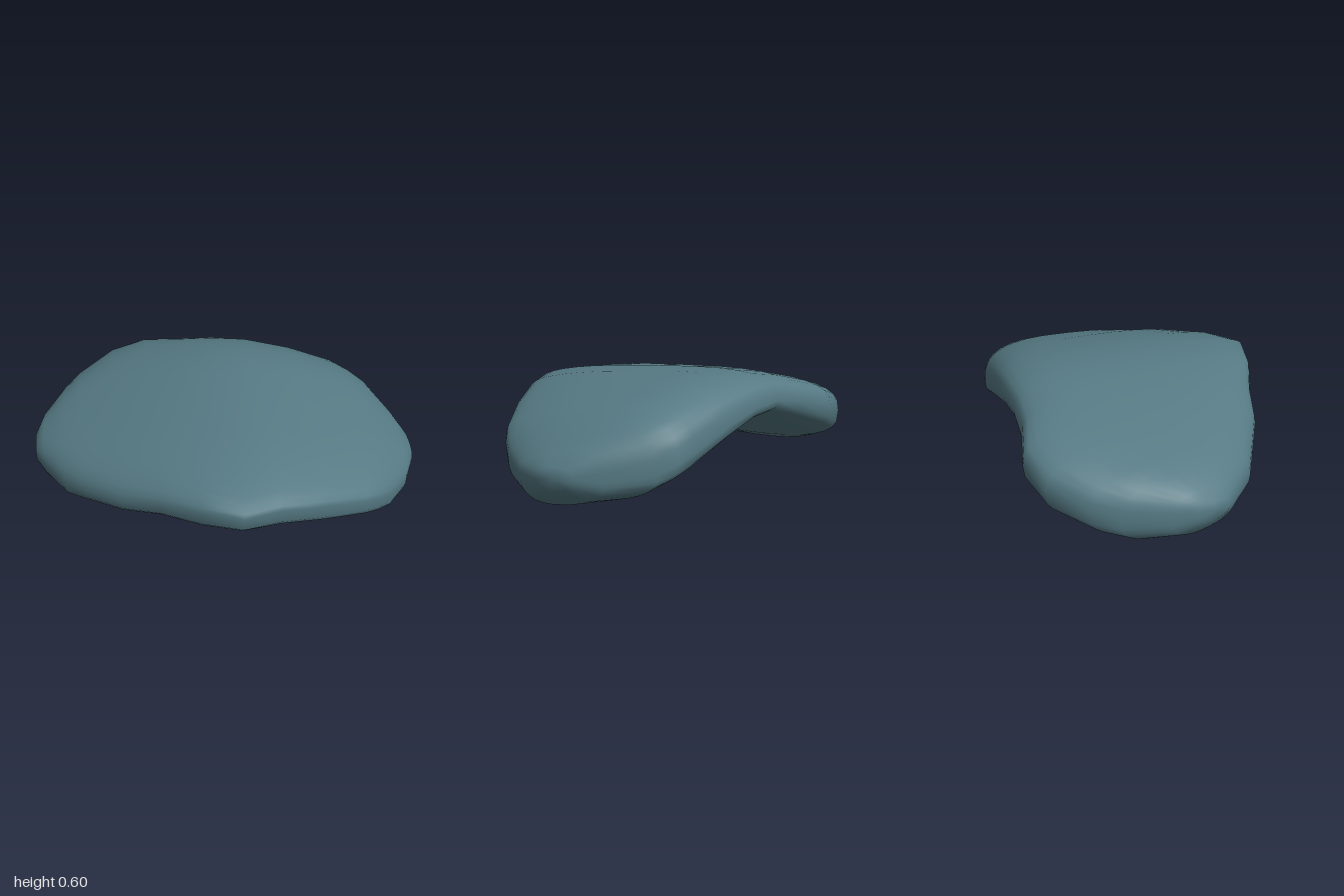
import * as THREE from 'three';

// Stations across the arch: [u, back edge, front edge, underside, top, front lean of top, front lean of underside]
const stations = [
  [-1.07, -0.14, 0.04, 0.17, 0.28, 0, 0],
  [-1.02, -0.28, 0.12, 0.09, 0.34, 0.01, -0.01],
  [-0.9, -0.5, 0.31, 0.05, 0.4, 0.01, -0.02],
  [-0.8, -0.62, 0.4, 0.07, 0.435, 0.01, -0.02],
  [-0.6, -0.76, 0.58, 0.13, 0.5, 0.01, -0.015],
  [-0.4, -0.78, 0.7, 0.2, 0.545, 0.01, 0],
  [-0.2, -0.68, 0.85, 0.265, 0.585, 0.025, 0.03],
  [0, -0.62, 0.95, 0.315, 0.6, 0.045, 0.05],
  [0.2, -0.58, 0.89, 0.29, 0.595, 0.055, 0.06],
  [0.45, -0.52, 0.81, 0.2, 0.55, 0.075, 0.045],
  [0.7, -0.46, 0.7, 0.1, 0.475, 0.08, 0.04],
  [0.79, -0.42, 0.64, 0.06, 0.435, 0.075, 0.04],
  [0.88, -0.35, 0.56, 0.02, 0.39, 0.06, 0.04],
  [1.0, -0.12, 0.4, 0.02, 0.3, 0.04, 0.03],
  [1.07, 0.02, 0.25, 0.11, 0.23, 0, 0],
];
const SIDES = 32;

const bend = (t, n) => Math.sign(t) * Math.pow(Math.abs(t), 2 / n);

// Rounded section: soft upper front, squarer underside that softens toward the feet
function sectionPoint([u, back, front, low, high, topLean, lowLean], angle) {
  const c = Math.cos(angle), t = Math.sin(angle);
  const s = bend(c, 3 - 0.6 * u * u);
  const h = bend(t, t < 0 ? 3.6 - 1.3 * u * u : c > 0 ? 2.3 : 2.8);
  const v = (back + front) / 2 + s * (front - back) / 2;
  const lean = h > 0 ? -topLean : lowLean;
  const y = (low + high) / 2 + h * (high - low) / 2 + h * s * lean;
  return place(u, y, v);
}

// The arch runs diagonally across the plan
function place(u, y, v) {
  return [(u + v) * Math.SQRT1_2, y, (v - u) * Math.SQRT1_2];
}

function shellGeometry() {
  const positions = [], index = [];
  for (const st of stations)
    for (let j = 0; j < SIDES; j++)
      positions.push(...sectionPoint(st, (j / SIDES) * Math.PI * 2));

  const last = stations.length - 1;
  for (let i = 0; i < last; i++)
    for (let j = 0; j < SIDES; j++) {
      const k = (j + 1) % SIDES;
      const a = i * SIDES + j, b = i * SIDES + k;
      const c = a + SIDES, d = b + SIDES;
      index.push(a, c, b, b, c, d);
    }

  // Close both ends with a fan
  for (const i of [0, last]) {
    const [u, back, front, low, high] = stations[i];
    const centre = positions.length / 3;
    positions.push(...place(u, (low + high) / 2, (back + front) / 2));
    for (let j = 0; j < SIDES; j++) {
      const a = i * SIDES + j, b = i * SIDES + (j + 1) % SIDES;
      if (i === 0) index.push(centre, a, b);
      else index.push(centre, b, a);
    }
  }

  const geo = new THREE.BufferGeometry();
  geo.setAttribute('position', new THREE.Float32BufferAttribute(positions, 3));
  geo.setIndex(index);

  // Centre over the origin, standing on the ground
  geo.computeBoundingBox();
  const mid = geo.boundingBox.getCenter(new THREE.Vector3());
  geo.translate(-mid.x, -geo.boundingBox.min.y, -mid.z);
  geo.computeVertexNormals();
  return geo;
}

export function createModel() {
  const group = new THREE.Group();
  group.name = 'archedShell';
  const shell = new THREE.Mesh(
    shellGeometry(),
    new THREE.MeshStandardMaterial({ color: 0x567a84 })
  );
  shell.name = 'shell';
  group.add(shell);
  return group;
}
